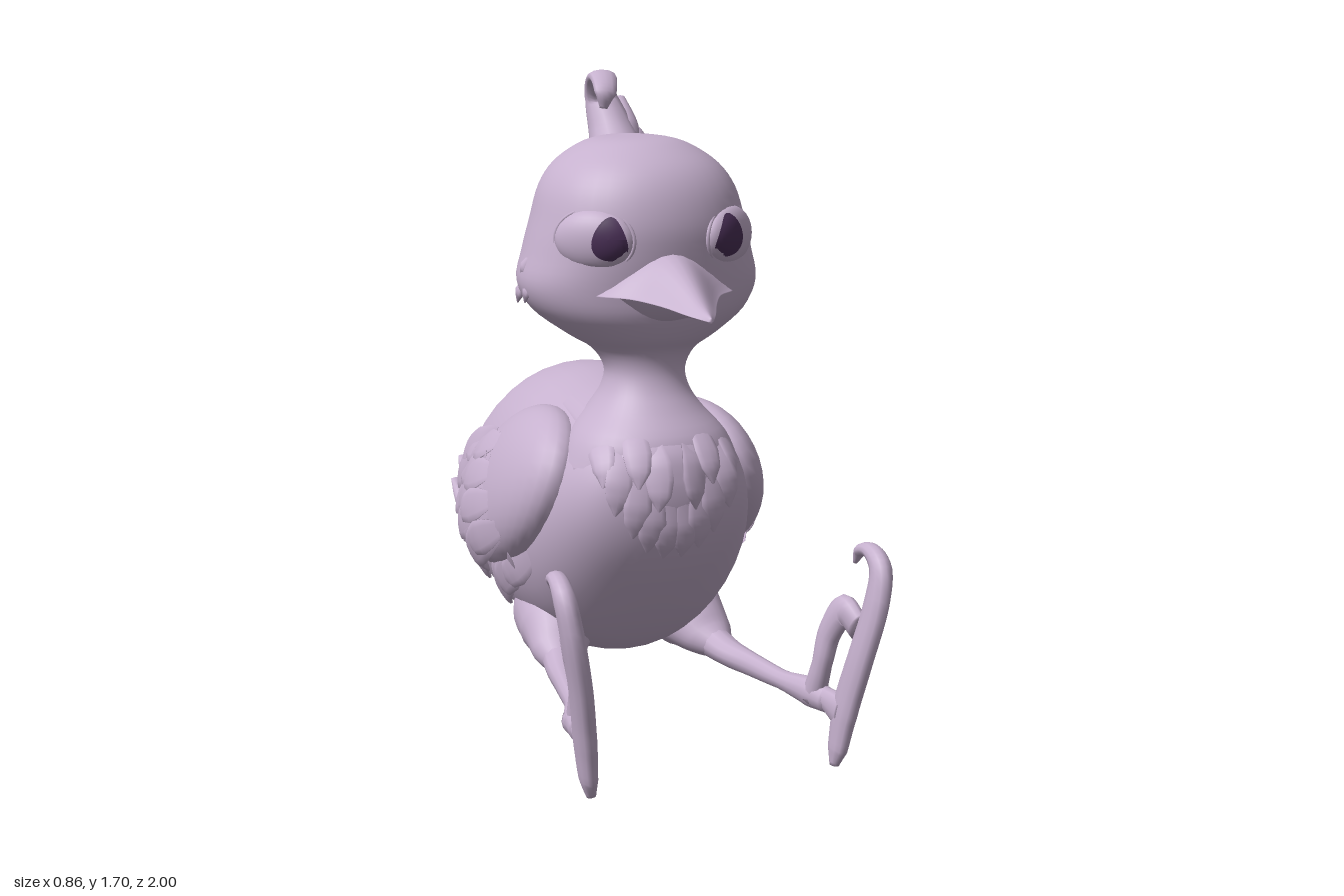
import * as THREE from 'three';

const V = (x, y, z) => new THREE.Vector3(x, y, z);
const plumage = new THREE.MeshStandardMaterial({ color: 0xc6b1ce });
plumage.name = 'mauve plumage';
const iris = new THREE.MeshStandardMaterial({ color: 0x4b3058 });
iris.name = 'dark violet iris';

// Smoothly resample a table of profile rows
function resample(rows, steps = 4) {
  const out = [], last = rows.length - 1;
  for (let k = 0; k <= last * steps; k++) {
    const i = Math.min(Math.floor(k / steps), last - 1), t = k / steps - i;
    out.push(rows[i].map((_, c) => {
      const [a, b, d, e] = [-1, 0, 1, 2].map(o => rows[Math.min(last, Math.max(0, i + o))][c]);
      return 0.5 * (2 * b + (d - a) * t + (2 * a - 5 * b + 4 * d - e) * t * t + (3 * b - a - 3 * d + e) * t ** 3);
    }));
  }
  return out;
}

// Skin closed rings (right-handed about the travel direction), capped at both ends
function loft(rings) {
  const n = rings[0].length, m = rings.length, pts = rings.flat(), idx = [];
  const mid = r => r.reduce((s, p) => s.add(p), V(0, 0, 0)).divideScalar(n);
  for (let i = 0; i < m - 1; i++) for (let j = 0; j < n; j++) {
    const a = i * n + j, b = i * n + (j + 1) % n;
    idx.push(a, b, a + n, b, b + n, a + n);
  }
  for (let j = 0; j < n; j++) {
    const k = (j + 1) % n, e = (m - 1) * n;
    idx.push(m * n, k, j, m * n + 1, e + j, e + k);
  }
  const g = new THREE.BufferGeometry().setFromPoints([...pts, mid(rings[0]), mid(rings[m - 1])]);
  g.setIndex(idx);
  g.computeVertexNormals();
  return g;
}

const ringOf = (n, fn) => Array.from({ length: n }, (_, j) => fn(j / n * Math.PI * 2));

// Tapered tube: profile rows are [radius along ref, radius across]
function taper(points, radii, ref = V(1, 0, 0), steps = 24, sides = 12) {
  const curve = new THREE.CatmullRomCurve3(points), rings = [];
  for (let i = 0; i <= steps; i++) {
    const t = i / steps, p = curve.getPoint(t), T = curve.getTangent(t);
    const A = ref.clone().addScaledVector(T, -ref.dot(T)).normalize(), B = T.clone().cross(A);
    const f = t * (radii.length - 1), k = Math.min(Math.floor(f), radii.length - 2);
    const [ra, rb] = [0, 1].map(c => THREE.MathUtils.lerp(radii[k][c], radii[k + 1][c], f - k));
    rings.push(ringOf(sides, a => p.clone().addScaledVector(A, ra * Math.cos(a)).addScaledVector(B, rb * Math.sin(a))));
  }
  return loft(rings);
}

// Body rows: z, bottom, top, half width
const bodyRows = resample([
  [-0.87, 0.315, 0.355, 0.15], [-0.78, 0.275, 0.38, 0.162], [-0.69, 0.27, 0.40, 0.142], [-0.6, 0.265, 0.45, 0.15],
  [-0.5, 0.21, 0.57, 0.21], [-0.4, 0.17, 0.69, 0.265], [-0.3, 0.14, 0.79, 0.305], [-0.18, 0.125, 0.87, 0.33],
  [0, 0.12, 0.895, 0.34], [0.15, 0.125, 0.88, 0.335], [0.3, 0.17, 0.87, 0.31], [0.4, 0.25, 0.865, 0.285],
  [0.5, 0.37, 0.84, 0.235], [0.56, 0.46, 0.8, 0.185], [0.6, 0.55, 0.75, 0.11], [0.615, 0.63, 0.68, 0.03]]);
const WING = { c: V(0.247, 0.59, 0.1), r: V(0.125, 0.22, 0.36), tilt: -0.35, lean: 0.36 };
const wingInverse = new THREE.Quaternion().setFromEuler(new THREE.Euler(WING.tilt, 0, WING.lean)).invert();

// Below 1 inside the body or a wing
function field(p) {
  let i = bodyRows.findIndex(r => r[0] > p.z);
  let f = 99;
  if (i > 0) {
    const a = bodyRows[i - 1], b = bodyRows[i], t = (p.z - a[0]) / (b[0] - a[0]);
    const [lo, hi, w] = [1, 2, 3].map(c => a[c] + (b[c] - a[c]) * t);
    f = (p.x / w) ** 2 + ((p.y - (lo + hi) / 2) / ((hi - lo) / 2)) ** 2;
  }
  const q = V(Math.abs(p.x), p.y, p.z).sub(WING.c).applyQuaternion(wingInverse).divide(WING.r);
  return Math.min(f, q.lengthSq());
}
// Outermost surface point along dir, searched from outside inward
function surface(start, dir) {
  let t = 0.6;
  while (t > 0 && field(start.clone().addScaledVector(dir, t)) > 1) t -= 0.004;
  return start.clone().addScaledVector(dir, t);
}

// Feather laid on the body from a to b, projected outward along dir
function feather(a, b, dir, width, lift = 0.008) {
  const pts = [0, 0.25, 0.5, 0.75, 1].map(t => surface(a.clone().lerp(b, t), dir).addScaledVector(dir, lift * t));
  const m = pts[2], e = 0.02;
  const g = ['x', 'y', 'z'].map(k => {
    const d = V(0, 0, 0); d[k] = e;
    return field(m.clone().add(d)) - field(m.clone().sub(d));
  });
  const h = 0.01;
  return taper(pts, [[0.001, width * 0.5], [h * 0.6, width * 0.85], [h, width], [h, width * 0.8], [0.002, 0.003]],
    V(...g).normalize(), 12, 10);
}

export function createModel() {
  const root = new THREE.Group();
  const add = (name, geo, mat = plumage) => {
    const mesh = new THREE.Mesh(geo, mat);
    mesh.name = name;
    root.add(mesh);
    return mesh;
  };

  add('body', loft(bodyRows.map(([z, lo, hi, w]) => ringOf(40, a =>
    V(w * Math.cos(a), (lo + hi) / 2 + (hi - lo) / 2 * Math.sin(a), z)))));

  // Neck and head rows: y, half width, back z, front z; widest a little forward of the middle
  add('headAndNeck', loft(resample([
    [0.7, 0.24, 0.16, 0.595], [0.78, 0.205, 0.17, 0.58], [0.85, 0.145, 0.2, 0.525], [0.9, 0.113, 0.235, 0.49],
    [0.95, 0.105, 0.245, 0.475], [1.0, 0.135, 0.2, 0.485], [1.04, 0.2, 0.12, 0.52], [1.1, 0.28, 0.04, 0.55],
    [1.17, 0.315, 0, 0.56], [1.25, 0.298, -0.015, 0.572], [1.33, 0.276, -0.015, 0.575], [1.41, 0.252, 0, 0.555],
    [1.47, 0.21, 0.035, 0.515], [1.515, 0.145, 0.1, 0.45], [1.535, 0.085, 0.17, 0.39], [1.542, 0.01, 0.27, 0.29],
  ]).map(([y, w, zb, zf]) => ringOf(40, a =>
    V(w * Math.sin(a), y, (zb + zf) / 2 + (zf - zb) / 2 * (Math.cos(a) + 0.12 * Math.sin(a) ** 2))))));

  // Beak rows: z, half width, mouth line, ridge, underside
  const beak = resample([[0.44, 0.185, 1.155, 1.25, 1.1], [0.53, 0.18, 1.158, 1.262, 1.085], [0.6, 0.12, 1.158, 1.25, 1.095],
    [0.69, 0.072, 1.15, 1.205, 1.115], [0.77, 0.037, 1.138, 1.16, 1.121], [0.83, 0.006, 1.13, 1.136, 1.125]]);
  const bill = (k, up, down, power) => loft(beak.map(r => ringOf(32, a => {
    const s = Math.sin(a), y = s > 0 ? up(r) * s ** power : -down(r) * s ** 2;
    return V(r[1] * k * Math.cos(a), r[2] + y + 0.004 * Math.abs(s), r[0] - (k < 1 ? 0.012 : 0));
  })));
  add('upperBeak', bill(1, r => r[3] - r[2], () => 0.01, 2.8));
  add('lowerBeak', bill(0.8, () => 0.004, r => r[2] - r[4], 1));

  // Crest curl with smaller feathers behind it
  add('crestCurl', taper([V(0.04, 1.44, 0.07), V(0.035, 1.54, 0), V(0.02, 1.62, -0.03), V(0, 1.67, 0.02), V(-0.015, 1.677, 0.09),
    V(-0.03, 1.64, 0.15), V(-0.035, 1.6, 0.15)],
    [[0.08, 0.08], [0.06, 0.06], [0.045, 0.04], [0.04, 0.02], [0.037, 0.018], [0.03, 0.016], [0.01, 0.01]], undefined, 36));
  [[0.085, 1.62, -0.055], [0.05, 1.55, -0.09], [0.11, 1.55, -0.06]].forEach(([x, y, z]) =>
    add('crestFeather', taper([V(0.04, 1.43, 0.07), V(x * 0.9, (y + 1.46) / 2, 0), V(x, y, z)],
      [[0.05, 0.05], [0.04, 0.04], [0.012, 0.006]])));
  add('napeFeather', taper([V(0, 1.42, 0.01), V(0, 1.385, -0.015), V(0, 1.36, -0.045)], [[0.02, 0.01], [0.03, 0.012], [0.003, 0.003]]));

  // Curled centre tail feather
  add('tailCurl', taper([V(0, 0.35, -0.6), V(0, 0.32, -0.8), V(0, 0.36, -0.92), V(0, 0.44, -0.975), V(0, 0.515, -0.945),
    V(0, 0.52, -0.88), V(0, 0.48, -0.835)],
    [[0.05, 0.04], [0.06, 0.045], [0.06, 0.04], [0.05, 0.025], [0.04, 0.018], [0.03, 0.015], [0.008, 0.006]], undefined, 32));

  for (const s of [1, -1]) {
    const P = (x, y, z) => V(s * x, y, z), out = V(s, 0, 0);

    // Eyes: raised lens, thin lid rim and iris
    const eye = new THREE.Group();
    eye.name = 'eye';
    eye.position.set(s * 0.178, 1.295, 0.494);
    eye.rotation.y = s * 0.7;
    const lens = new THREE.Mesh(new THREE.SphereGeometry(1, 28, 18).scale(0.105, 0.077, 0.045), plumage);
    lens.name = 'eyeball';
    const lid = new THREE.Mesh(new THREE.TorusGeometry(1, 0.05, 8, 36).scale(0.106, 0.079, 0.12), plumage);
    lid.name = 'eyelid';
    const disc = new THREE.RingGeometry(0.001, 1, 28, 6).scale(0.041, 0.055, 1);
    const pos = disc.attributes.position;
    for (let i = 0; i < pos.count; i++) {
      // teardrop, narrower at the top, wrapped onto the lens
      const y = pos.getY(i), x = pos.getX(i) * (1 - y * 6) - s * 0.054;
      const q = (x / 0.105) ** 2 + (y / 0.077) ** 2;
      pos.setXYZ(i, x, y + 0.008, 0.045 * Math.sqrt(Math.max(0, 1 - q)) + 0.006);
    }
    disc.computeVertexNormals();
    const pupil = new THREE.Mesh(disc, iris);
    pupil.name = 'iris';
    eye.add(lens, lid, pupil);
    root.add(eye);

    // Cheek tufts
    [[1.21, 0.31], [1.15, 0.33], [1.14, 0.25], [1.19, 0.07]].forEach(([y, z]) => {
      const x = 0.304 * Math.sqrt(1 - ((z - 0.31) / 0.305) ** 2);
      add('cheekTuft', taper([P(x - 0.01, y + 0.03, z + 0.02), P(x, y, z), P(x, y - 0.03, z - 0.02)],
        [[0.004, 0.008], [0.012, 0.02], [0.002, 0.002]], out, 10, 8));
    });

    // Wing with three overlapping rows of broad feathers
    const wing = add('wing', new THREE.SphereGeometry(1, 32, 20));
    wing.position.set(s * WING.c.x, WING.c.y, WING.c.z);
    wing.scale.copy(WING.r);
    wing.rotation.set(WING.tilt, 0, s * WING.lean);
    [[0, 1, 6, 0.058], [0.12, 0.72, 6, 0.055], [0.2, 0.48, 5, 0.05]].forEach(([back, reach, n, w]) => {
      for (let i = 0; i < n; i++) {
        const t = i / (n - 1);
        const base = P(0, 0.45 + 0.27 * t, 0.26 - 0.2 * t + back * 0.3);
        const tip = P(0, 0.23 + 0.36 * t, -0.02 - 0.34 * Math.sin(t * 2));
        add('wingFeather', feather(base, base.clone().lerp(tip, reach), out, w, 0.018));
      }
    });
    // Flank feathers
    [[0.5, -0.25, 0.41, -0.52], [0.42, -0.2, 0.32, -0.45], [0.34, -0.12, 0.24, -0.32], [0.44, -0.4, 0.37, -0.59]].forEach(([y, z, y2, z2]) =>
      add('flankFeather', feather(P(0, y, z), P(0, y2, z2), out, 0.05, 0.014)));

    // Chest bib fringe
    [[0.025, 0.49], [0.07, 0.51], [0.11, 0.55], [0.155, 0.61], [0.18, 0.68], [0.05, 0.62], [0.1, 0.68]].forEach(([x, y]) =>
      add('bibFeather', feather(P(x * 0.85, y + 0.16, 0.2), P(x, y, 0.2), V(0, 0, 1), 0.038, 0.01)));

    // Tail fan
    [[0.09, 0.42, -0.98, 0.045], [0.125, 0.44, -0.965, 0.035], [0.175, 0.39, -0.87, 0.026]].forEach(([x, y, z, w]) =>
      add('tailFeather', taper([P(0.09, 0.35, -0.58), P(0.06 + x * 0.4, 0.335, -0.3 + z * 0.46), P(x * 0.95, y - 0.06, z + 0.07), P(x, y, z)],
        [[w, 0.04], [w, 0.035], [w, 0.025], [0.015, 0.006]])));

    // Thigh, leg and upright foot with hooked toe
    add('thigh', taper([P(0.16, 0.27, 0.0), P(0.175, 0.245, 0.12), P(0.19, 0.22, 0.22), P(0.215, 0.18, 0.31), P(0.23, 0.162, 0.37)],
      [[0.08, 0.12], [0.105, 0.12], [0.1, 0.1], [0.07, 0.055], [0.03, 0.03]], undefined, 24, 24));
    add('leg', taper([P(0.21, 0.18, 0.28), P(0.235, 0.16, 0.4), P(0.258, 0.155, 0.5), P(0.285, 0.155, 0.65), P(0.315, 0.155, 0.76), P(0.33, 0.15, 0.83)],
      [[0.05, 0.05], [0.042, 0.036], [0.028, 0.032], [0.024, 0.025], [0.034, 0.04], [0.025, 0.03]]));
    add('longToe', taper([P(0.32, 0.005, 0.885), P(0.328, 0.05, 0.887), P(0.34, 0.15, 0.898), P(0.362, 0.29, 0.932), P(0.39, 0.43, 0.955),
      P(0.405, 0.515, 0.945), P(0.405, 0.55, 0.895), P(0.4, 0.54, 0.845), P(0.395, 0.505, 0.825)],
      [[0.012, 0.012], [0.022, 0.036], [0.027, 0.048], [0.028, 0.045], [0.028, 0.043], [0.027, 0.033], [0.024, 0.02], [0.02, 0.015], [0.006, 0.005]],
      undefined, 40));
    add('innerToe', taper([P(0.315, 0.14, 0.765), P(0.322, 0.24, 0.798), P(0.338, 0.33, 0.81), P(0.358, 0.39, 0.85), P(0.37, 0.36, 0.905)],
      [[0.03, 0.035], [0.025, 0.028], [0.028, 0.036], [0.028, 0.042], [0.022, 0.04]]));
    add('heel', taper([P(0.32, 0.15, 0.75), P(0.328, 0.155, 0.82), P(0.335, 0.14, 0.9)], [[0.03, 0.035], [0.024, 0.03], [0.024, 0.05]]));
  }
  return root;
}
